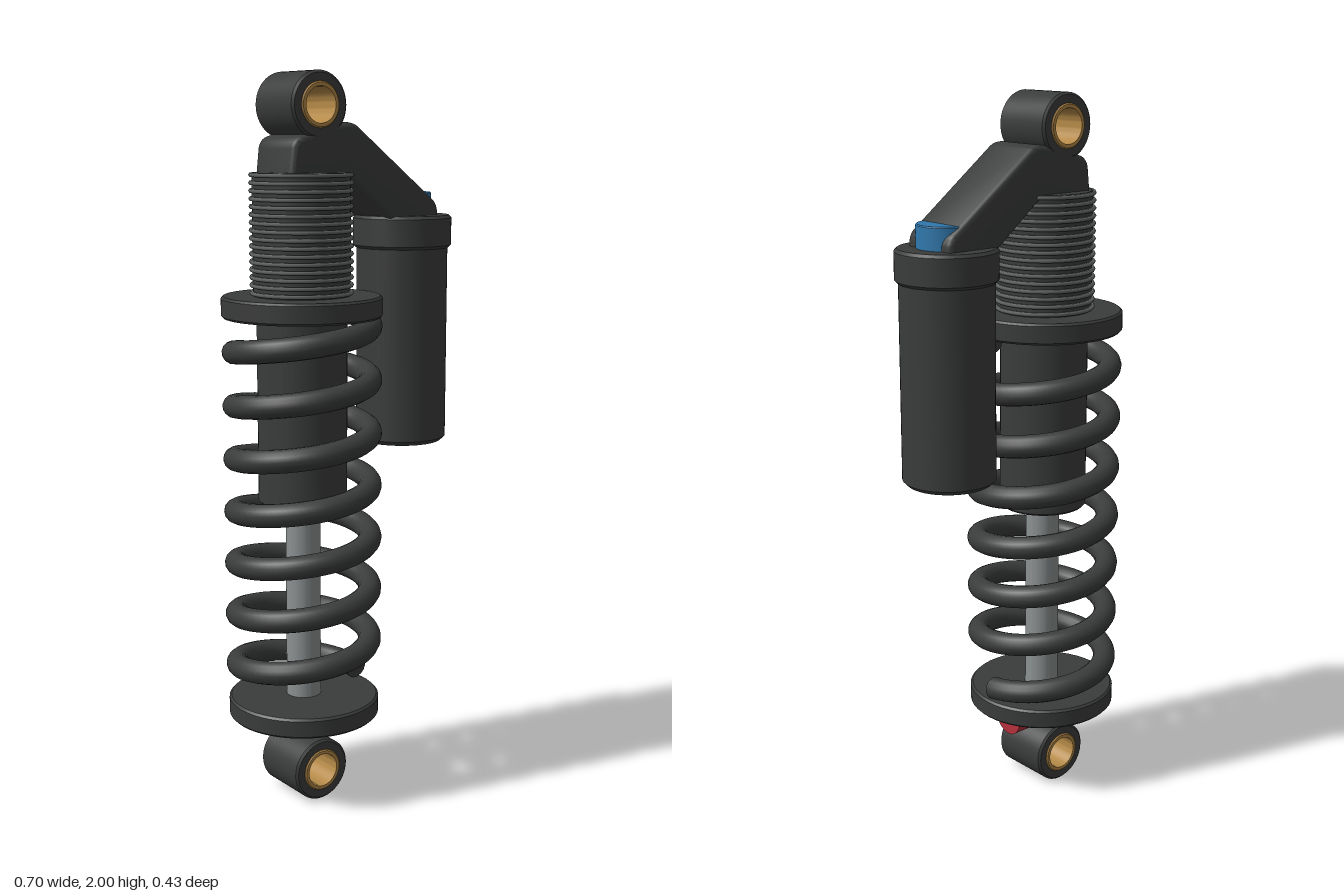
import * as THREE from 'three';
import { toCreasedNormals } from 'three/addons/utils/BufferGeometryUtils.js';

const AXIS = -0.132; // x of the damper axis
const RES = 0.21;    // x of the reservoir axis

const mat = (color) => new THREE.MeshStandardMaterial({ color });
const dark = mat(0x3a3c3b), steel = mat(0x8c9191), thread = mat(0x626565);
const bronze = mat(0xb58a48), blue = mat(0x3078ad), red = mat(0xb5303a);

class Helix extends THREE.Curve {
  constructor(radius, y0, y1, turns) {
    super();
    Object.assign(this, { radius, y0, y1, turns });
  }
  getPoint(t, target = new THREE.Vector3()) {
    const a = t * this.turns * Math.PI * 2;
    return target.set(this.radius * Math.cos(a), this.y0 + (this.y1 - this.y0) * t, -this.radius * Math.sin(a));
  }
}

export function createModel() {
  const model = new THREE.Group();

  const add = (name, geometry, material, x = 0, y = 0, z = 0) => {
    const mesh = new THREE.Mesh(geometry, material);
    mesh.name = name;
    mesh.position.set(x, y, z);
    model.add(mesh);
    return mesh;
  };

  // Turned part from [radius, height] pairs, listed bottom to top
  const turned = (profile, segments = 48) => toCreasedNormals(
    new THREE.LatheGeometry(profile.map(([r, y]) => new THREE.Vector2(r, y)), segments), 0.5);

  // Solid disc or rod with small chamfers
  const rod = (r, y0, y1, c = 0.006) =>
    turned([[0, y0], [r - c, y0], [r, y0 + c], [r, y1 - c], [r - c, y1], [0, y1]]);

  // Hollow sleeve lying along z
  const sleeve = (inner, outer, half, c) => turned([
    [inner, -half], [outer - c, -half], [outer, -half + c],
    [outer, half - c], [outer - c, half], [inner, half], [inner, -half],
  ]).rotateX(Math.PI / 2);

  // Mounting eyes with bushings
  for (const [name, y] of [['upper', 1.913], ['lower', 0.088]]) {
    add(name + 'Eye', sleeve(0.056, 0.087, 0.088, 0.006), dark, AXIS, y);
    add(name + 'Bushing', sleeve(0.047, 0.059, 0.092, 0.003), bronze, AXIS, y);
  }

  // Damper body, shaft and spring seats
  add('shaft', rod(0.048, 0.19, 1.0), steel, AXIS);
  add('body', rod(0.122, 0.85, 1.45), dark, AXIS);
  add('threadedCore', rod(0.131, 1.38, 1.74, 0.003), dark, AXIS);
  add('preloadCollar', rod(0.217, 1.358, 1.416), dark, AXIS);
  add('lowerSpringSeat', rod(0.21, 0.237, 0.293), dark, AXIS);

  // Thread ridges
  const ridge = new THREE.TorusGeometry(0.134, 0.006, 6, 48).rotateX(Math.PI / 2);
  const ridges = 16;
  for (let i = 0; i < ridges; i++) {
    add('threadRidge', ridge, thread, AXIS, 1.424 + i * (0.31 / (ridges - 1)));
  }

  // Coil spring with capped ends
  const coil = new Helix(0.185, 0.325, 1.35, 7);
  add('spring', new THREE.TubeGeometry(coil, 420, 0.032, 14), dark, AXIS);
  for (const t of [0, 1]) {
    const cap = add('springEnd', new THREE.CircleGeometry(0.032, 14), dark);
    const p = coil.getPoint(t).add(new THREE.Vector3(AXIS, 0, 0));
    const outward = coil.getTangent(t).multiplyScalar(t ? 1 : -1);
    cap.position.copy(p);
    cap.lookAt(p.clone().add(outward));
  }

  // Bridge arm from the body head to the reservoir
  const b = 0.014;
  const arm = new THREE.Shape();
  arm.moveTo(-0.208, 1.735);
  arm.lineTo(-0.2, 1.8);
  arm.quadraticCurveTo(-0.197, 1.818, -0.175, 1.822);
  arm.lineTo(-0.085, 1.85);
  arm.lineTo(-0.04, 1.855);
  arm.quadraticCurveTo(-0.022, 1.855, -0.01, 1.845);
  arm.lineTo(0.245, 1.652);
  arm.quadraticCurveTo(0.257, 1.642, 0.256, 1.618);
  arm.lineTo(0.12, 1.618);
  arm.lineTo(0.005, 1.71);
  arm.lineTo(-0.025, 1.735);
  arm.closePath();
  const armGeo = new THREE.ExtrudeGeometry(arm, {
    depth: 0.176 - 2 * b, bevelEnabled: true, bevelThickness: b, bevelSize: b, bevelSegments: 4, curveSegments: 6,
  }).translate(0, 0, -0.088 + b);
  add('bridgeArm', toCreasedNormals(armGeo, 0.5), dark);

  // Reservoir, its cap and the blue adjuster
  add('reservoir', rod(0.127, 0.985, 1.56, 0.012), dark, RES);
  add('reservoirCap', rod(0.137, 1.53, 1.62, 0.008), dark, RES);
  add('compressionKnob', rod(0.08, 1.6, 1.682, 0.003), blue, RES);

  // Red rebound adjuster under the lower seat
  const knob = new THREE.CylinderGeometry(0.05, 0.05, 0.058, 16).rotateZ(Math.PI / 2);
  add('reboundKnob', knob, red, -0.03, 0.21);

  return model;
}
